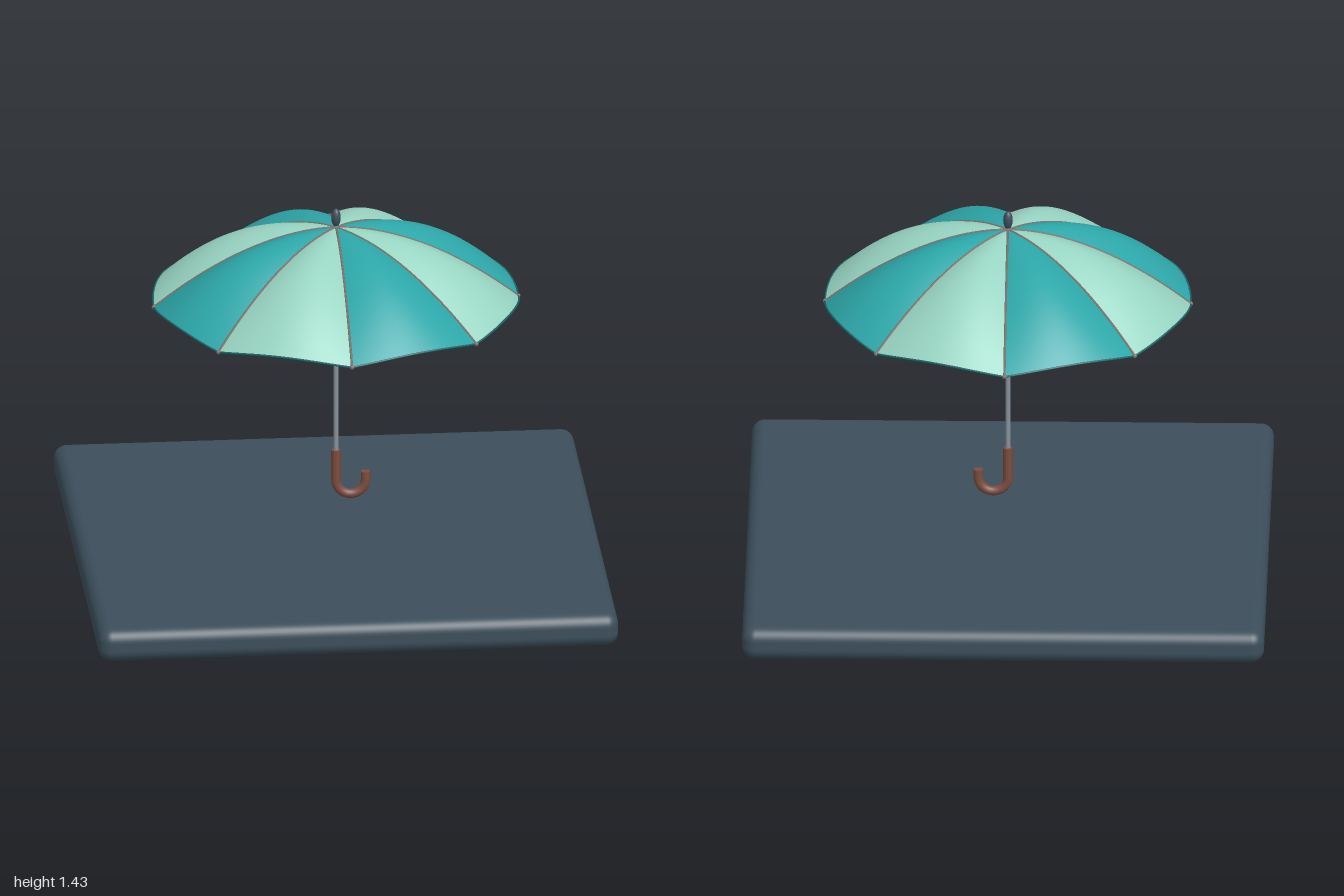
import * as THREE from 'three';
import { RoundedBoxGeometry } from 'three/addons/geometries/RoundedBoxGeometry.js';
import { ParametricGeometry } from 'three/addons/geometries/ParametricGeometry.js';

const RIBS = 8, STEP = (Math.PI * 2) / RIBS, RADIUS = 0.69;

// Height of a rib at t = 0 (apex) to 1 (rim)
const ribHeight = t => 1.35 - 0.3 * Math.pow(t, 1.85);

// Point on the canopy: t along the radius, s across one panel; cloth puffs up between ribs
function canopyPoint(panel, s, t, target = new THREE.Vector3()) {
  const a = (panel + s) * STEP;
  const puff = Math.sin(Math.PI * s) * t * (0.03 + 0.04 * Math.sin(Math.PI * t));
  return target.set(Math.cos(a) * RADIUS * t, ribHeight(t) + puff, Math.sin(a) * RADIUS * t);
}

function tube(points, radius, segments, sides = 8) {
  return new THREE.TubeGeometry(new THREE.CatmullRomCurve3(points), segments, radius, sides);
}

export function createModel() {
  const group = new THREE.Group();
  const mat = (name, color, side = THREE.FrontSide) =>
    Object.assign(new THREE.MeshStandardMaterial({ color, side }), { name });
  const slate = mat('slate', 0x3c4e5b);
  const teal = mat('teal cloth', 0x2ca6a8, THREE.DoubleSide);
  const mint = mat('mint cloth', 0x98d4c2, THREE.DoubleSide);
  const hem = mat('dark teal hem', 0x1d6468);
  const metal = mat('grey metal', 0x87929a);
  const ribMetal = mat('rib bronze', 0x7d7069);
  const wood = mat('brown wood', 0x7b4c3e);

  const add = (name, geometry, material, x = 0, y = 0, z = 0) => {
    const mesh = new THREE.Mesh(geometry, material);
    mesh.name = name;
    mesh.position.set(x, y, z);
    group.add(mesh);
    return mesh;
  };

  // Base slab
  add('base', new RoundedBoxGeometry(1.97, 0.13, 2, 5, 0.05), slate, 0, 0.065, 0);

  // Shaft, sliding runner and finial
  add('shaft', new THREE.CylinderGeometry(0.009, 0.009, 0.96, 16), metal, 0, 0.88, 0);
  add('runner', new THREE.CylinderGeometry(0.017, 0.017, 0.08, 20), slate, 0, 0.92, 0);
  add('finial', new THREE.SphereGeometry(0.018, 20, 14), slate, 0, 1.39, 0).scale.y = 2;

  // Hooked handle: straight grip, half circle, short upturn
  const hook = new THREE.CurvePath();
  const R = 0.056, cy = 0.328;
  const arc = [];
  for (let i = 0; i <= 16; i++) {
    const a = Math.PI + (i / 16) * Math.PI;
    arc.push(new THREE.Vector3(R + R * Math.cos(a), cy + R * Math.sin(a), 0));
  }
  const top = new THREE.Vector3(0, 0.45, 0), end = new THREE.Vector3(2 * R, 0.36, 0);
  hook.add(new THREE.LineCurve3(top, arc[0]));
  hook.add(new THREE.CatmullRomCurve3(arc));
  hook.add(new THREE.LineCurve3(arc[16], end));
  add('handle', new THREE.TubeGeometry(hook, 60, 0.018, 16), wood);
  for (const p of [top, end]) {
    add('handleCap', new THREE.CircleGeometry(0.018, 16).rotateX(-Math.PI / 2), wood, p.x, p.y, 0);
  }

  // Canopy panels, hems, ribs, tips and struts
  for (let i = 0; i < RIBS; i++) {
    const surface = (u, v, target) => canopyPoint(i, u, 0.01 + 0.99 * v, target);
    add('canopyPanel', new ParametricGeometry(surface, 20, 24), i % 2 ? teal : mint);

    const rim = [], rib = [];
    for (let k = 0; k <= 12; k++) {
      rim.push(canopyPoint(i, k / 12, 1));
      rib.push(canopyPoint(i, 0, k / 12));
    }
    add('hem', tube(rim, 0.004, 24, 6), hem);
    add('rib', tube(rib, 0.005, 24, 6), ribMetal);
    add('ribTip', new THREE.SphereGeometry(0.009, 10, 8), ribMetal, rib[12].x, rib[12].y, rib[12].z);

    const a = i * STEP;
    const foot = new THREE.Vector3(Math.cos(a) * 0.012, 0.918, Math.sin(a) * 0.012);
    add('strut', tube([foot, canopyPoint(i, 0, 0.655)], 0.004, 1, 6), metal);
  }
  return group;
}
